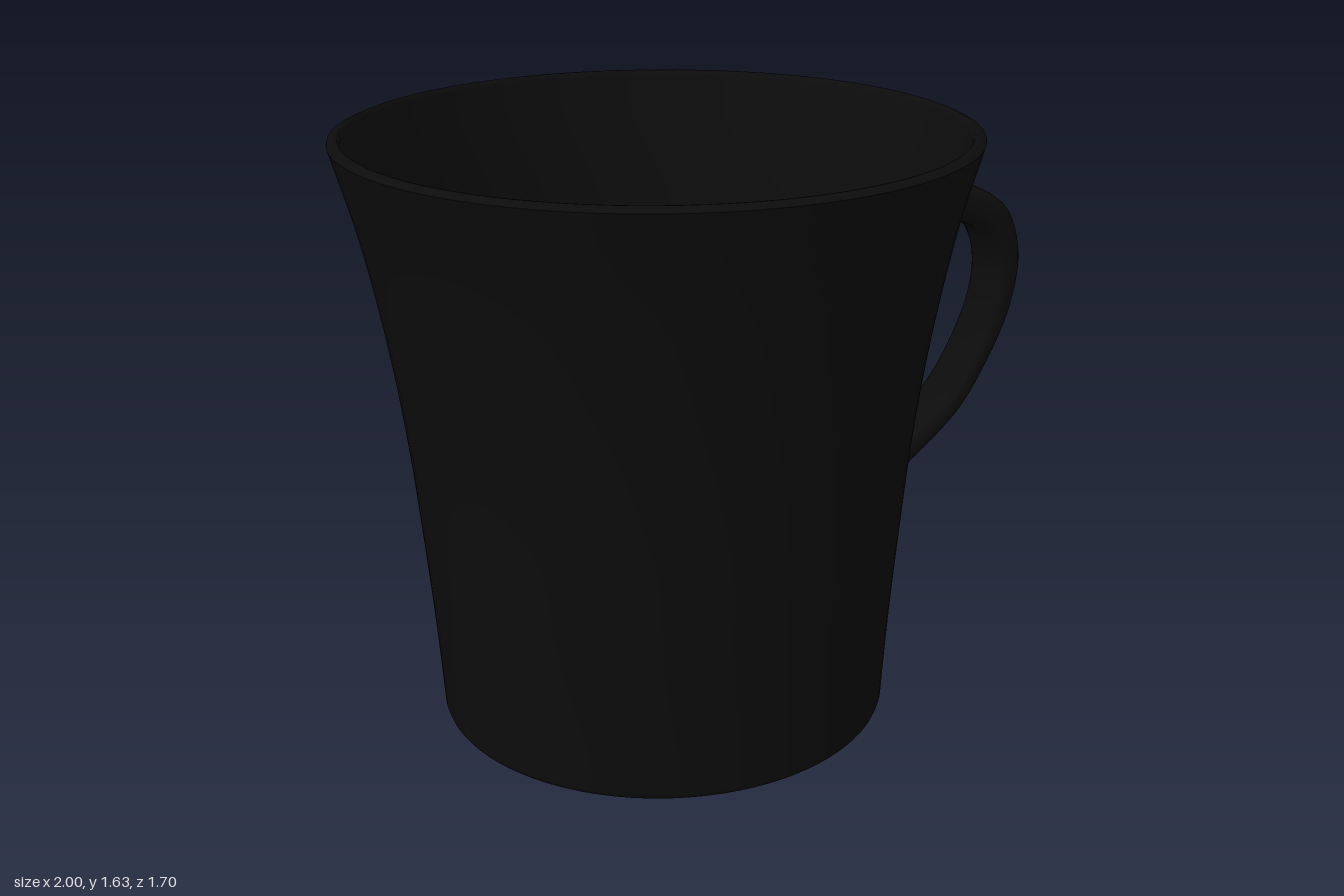
import * as THREE from 'three';

const SEGMENTS = 96;
const CENTRE_X = -0.15;

// Smooth [radius, height] profile through a few points
function smoothProfile(points, n = 28) {
  return new THREE.SplineCurve(points.map(([r, y]) => new THREE.Vector2(r, y))).getPoints(n);
}

export function createModel() {
  const group = new THREE.Group();
  group.name = 'mug';
  const black = new THREE.MeshStandardMaterial({ color: 0x0c0c0c });
  black.name = 'black glaze';

  const add = (name, geometry, x = 0) => {
    const mesh = new THREE.Mesh(geometry, black);
    mesh.name = name;
    mesh.position.x = x;
    group.add(mesh);
  };
  const turn = (name, points) => add(name, new THREE.LatheGeometry(points, SEGMENTS), CENTRE_X);
  const v = (x, y) => new THREE.Vector2(x, y);

  // Cup: each band is turned separately so its edges stay crisp
  turn('base', [v(0, 0), v(0.622, 0)]);
  turn('baseEdge', [v(0.622, 0), v(0.629, 0.004), v(0.632, 0.013)]);
  turn('outerWall', smoothProfile([
    [0.632, 0.013], [0.645, 0.24], [0.665, 0.5], [0.692, 0.8], [0.729, 1.08], [0.785, 1.38], [0.849, 1.622],
  ]));
  turn('rim', [v(0.849, 1.622), v(0.847, 1.627), v(0.828, 1.635), v(0.82, 1.634), v(0.815, 1.622)]);
  turn('innerWall', smoothProfile([
    [0.815, 1.622], [0.752, 1.38], [0.697, 1.08], [0.66, 0.8], [0.632, 0.5], [0.612, 0.24], [0.597, 0.05],
  ]));
  turn('floor', [v(0.597, 0.05), v(0, 0.05)]);

  // Handle stations: inner edge x, y, outer edge x, y, half width
  const stations = [
    [0.595, 1.205, 0.625, 1.425, 0.092],
    [0.63, 1.238, 0.65, 1.395, 0.087],
    [0.7, 1.266, 0.73, 1.392, 0.085],
    [0.79, 1.27, 0.85, 1.37, 0.085],
    [0.865, 1.235, 0.95, 1.305, 0.085],
    [0.908, 1.14, 0.998, 1.17, 0.085],
    [0.905, 1.03, 0.975, 1.0, 0.085],
    [0.86, 0.9, 0.9, 0.84, 0.085],
    [0.78, 0.77, 0.805, 0.7, 0.085],
    [0.69, 0.685, 0.71, 0.615, 0.085],
    [0.58, 0.622, 0.615, 0.54, 0.086],
    [0.51, 0.56, 0.555, 0.475, 0.088],
    [0.49, 0.43, 0.55, 0.42, 0.088],
    [0.48, 0.33, 0.586, 0.325, 0.088],
    [0.475, 0.28, 0.588, 0.28, 0.072],
    [0.475, 0.25, 0.565, 0.25, 0.05],
    [0.475, 0.235, 0.53, 0.235, 0.012],
  ];
  const curve = (f) => new THREE.CatmullRomCurve3(stations.map((s) => new THREE.Vector3(...f(s))));
  const inner = curve((s) => [s[0], s[1], s[4]]);
  const outer = curve((s) => [s[2], s[3], s[4]]);

  // Loft rounded-rectangle sections between the two edge curves
  const rings = 96, sides = 28;
  const positions = [], index = [];
  const soft = (t) => Math.sign(t) * Math.abs(t) ** 0.7;
  for (let i = 0; i <= rings; i++) {
    const a = inner.getPoint(i / rings), b = outer.getPoint(i / rings);
    for (let j = 0; j < sides; j++) {
      const angle = (j / sides) * Math.PI * 2;
      const k = 0.5 + 0.5 * soft(Math.cos(angle));
      positions.push(a.x + (b.x - a.x) * k, a.y + (b.y - a.y) * k, a.z * soft(Math.sin(angle)));
      if (i < rings) {
        const p = i * sides + j, q = i * sides + ((j + 1) % sides);
        index.push(p, q, p + sides, q, q + sides, p + sides);
      }
    }
  }
  // Close the lower tip
  const last = rings * sides;
  for (let j = 1; j < sides - 1; j++) index.push(last, last + j, last + j + 1);

  const handle = new THREE.BufferGeometry();
  handle.setAttribute('position', new THREE.Float32BufferAttribute(positions, 3));
  handle.setIndex(index);
  handle.computeVertexNormals();
  add('handle', handle);

  return group;
}
